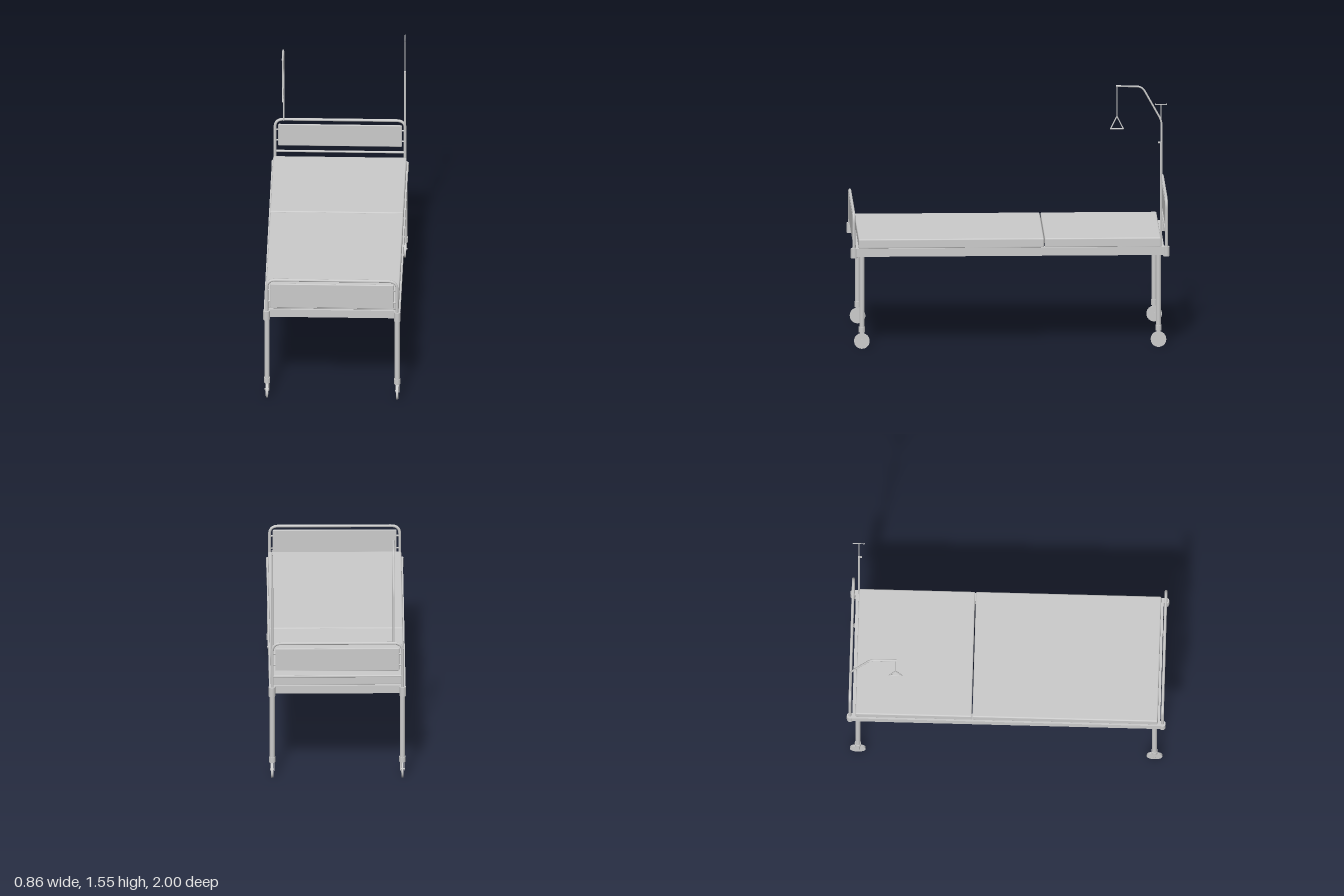
import * as THREE from 'three';
import { RoundedBoxGeometry } from 'three/addons/geometries/RoundedBoxGeometry.js';

const V = (x, y, z) => new THREE.Vector3(x, y, z);

export function createModel() {
  const bed = new THREE.Group();
  bed.name = 'hospitalBed';
  const mat = new THREE.MeshStandardMaterial({ color: 0xcccccc });

  const add = (name, geo, x = 0, y = 0, z = 0, parent = bed) => {
    const m = new THREE.Mesh(geo, mat);
    m.name = name;
    m.position.set(x, y, z);
    parent.add(m);
    return m;
  };
  const box = (name, w, h, d, x, y, z, parent) => add(name, new THREE.BoxGeometry(w, h, d), x, y, z, parent);
  // Upright cylinder between two heights
  const post = (name, r, y0, y1, x, z, parent) =>
    add(name, new THREE.CylinderGeometry(r, r, y1 - y0, 20), x, (y0 + y1) / 2, z, parent);
  // Straight rod between two points
  const rod = (name, a, b, r, parent) => {
    const m = add(name, new THREE.CylinderGeometry(r, r, a.distanceTo(b), 12), 0, 0, 0, parent);
    m.position.copy(a).add(b).multiplyScalar(0.5);
    m.quaternion.setFromUnitVectors(V(0, 1, 0), b.clone().sub(a).normalize());
    return m;
  };
  // Tube through points, each inner corner rounded by the given distance
  const bentTube = (name, pts, bend, r, parent) => {
    const path = new THREE.CurvePath();
    let from = pts[0];
    for (let i = 1; i < pts.length - 1; i++) {
      const p = pts[i];
      const a = p.clone().add(pts[i - 1].clone().sub(p).setLength(bend));
      const b = p.clone().add(pts[i + 1].clone().sub(p).setLength(bend));
      path.add(new THREE.LineCurve3(from, a));
      path.add(new THREE.QuadraticBezierCurve3(a, p, b));
      from = b;
    }
    path.add(new THREE.LineCurve3(from, pts[pts.length - 1]));
    return add(name, new THREE.TubeGeometry(path, 120, r, 12), 0, 0, 0, parent);
  };

  // Hollow rectangular frame
  const outline = new THREE.Shape();
  outline.moveTo(-0.428, -0.965).lineTo(0.428, -0.965).lineTo(0.428, 0.965).lineTo(-0.428, 0.965).closePath();
  const hole = new THREE.Path();
  hole.moveTo(-0.375, -0.905).lineTo(-0.375, 0.905).lineTo(0.375, 0.905).lineTo(0.375, -0.905).closePath();
  outline.holes.push(hole);
  const frameGeo = new THREE.ExtrudeGeometry(outline, { depth: 0.052, bevelEnabled: false });
  frameGeo.rotateX(-Math.PI / 2);
  add('frame', frameGeo, 0, 0.59, 0);

  // Two-part mattress
  for (const [name, z0, z1] of [['mattressFoot', -0.212, 0.95], ['mattressHead', -0.945, -0.217]])
    add(name, new RoundedBoxGeometry(0.836, 0.06, z1 - z0, 3, 0.008), 0, 0.669, (z0 + z1) / 2);

  // Legs with castors, and corner sockets
  for (const sx of [-1, 1]) for (const sz of [-1, 1]) {
    const leg = new THREE.Group();
    leg.name = 'leg';
    leg.position.set(sx * 0.408, 0, sz * 0.93);
    bed.add(leg);
    post('legTube', 0.016, 0.13, 0.6, 0, 0, leg);
    post('castorSleeve', 0.02, 0.105, 0.14, 0, 0, leg);
    for (const s of [-1, 1]) box('castorFork', 0.004, 0.062, 0.024, s * 0.012, 0.079, 0, leg);
    const wheel = add('wheel', new THREE.CylinderGeometry(0.049, 0.049, 0.014, 32), 0, 0.049, 0, leg);
    wheel.rotation.z = Math.PI / 2;
    rod('axle', V(-0.015, 0.055, 0), V(0.015, 0.055, 0), 0.005, leg);
    post('cornerSocket', 0.021, 0.58, 0.642, sx * 0.41, sz * 0.979);
    box('cornerBracket', 0.03, 0.045, 0.03, sx * 0.41, 0.613, sz * 0.96);
  }

  // Tubular end with an infill panel clipped to the posts
  const endBoard = (name, z, top, panelTop, panelBottom) => {
    const g = new THREE.Group();
    g.name = name;
    g.position.z = z;
    bed.add(g);
    const y = top - 0.009;
    bentTube('endTube', [V(-0.408, 0.6, 0), V(-0.408, y, 0), V(0.408, y, 0), V(0.408, 0.6, 0)], 0.055, 0.009, g);
    const h = panelTop - panelBottom;
    add('panel', new RoundedBoxGeometry(0.776, h, 0.012, 2, 0.005), 0, (panelTop + panelBottom) / 2, 0, g);
    for (const s of [-1, 1]) for (const k of [0.25, 0.75]) {
      const cy = panelBottom + h * k;
      rod('panelClip', V(s * 0.38, cy, 0), V(s * 0.408, cy, 0), 0.005, g);
    }
    return g;
  };
  endBoard('footBoard', 0.98, 0.87, 0.835, 0.668);
  const head = endBoard('headBoard', -0.98, 0.95, 0.907, 0.755);
  rod('lowerRail', V(-0.408, 0.715, 0), V(0.408, 0.715, 0), 0.007, head);

  // Drip stand
  const stand = new THREE.Group();
  stand.name = 'dripStand';
  stand.position.set(0.408, 0, -0.946);
  bed.add(stand);
  post('standLowerTube', 0.007, 0.6, 1.31, 0, 0, stand);
  post('standUpperTube', 0.004, 1.3, 1.548, 0, 0, stand);
  rod('standKnob', V(0, 1.305, 0), V(0, 1.305, 0.018), 0.005, stand);
  rod('standHook', V(0, 1.548, -0.035), V(0, 1.548, 0.035), 0.003, stand);
  for (const s of [-1, 1]) rod('hookTip', V(0, 1.546, s * 0.034), V(0, 1.553, s * 0.036), 0.003, stand);

  // Lifting pole with hanging triangular handle
  const lift = new THREE.Group();
  lift.name = 'liftingPole';
  lift.position.x = -0.353;
  bed.add(lift);
  bentTube('poleTube', [V(0, 0.935, -0.976), V(0, 1.29, -0.976), V(0, 1.511, -0.853), V(0, 1.515, -0.69)], 0.035, 0.006, lift);
  rod('strap', V(0, 1.518, -0.695), V(0, 1.32, -0.695), 0.004, lift);
  const tri = [V(0, 1.322, -0.695), V(0, 1.242, -0.655), V(0, 1.242, -0.735)];
  tri.forEach((p, i) => {
    rod('handleSide', p, tri[(i + 1) % 3], 0.004, lift);
    add('handleCorner', new THREE.SphereGeometry(0.004, 10, 8), p.x, p.y, p.z, lift);
  });

  return bed;
}
